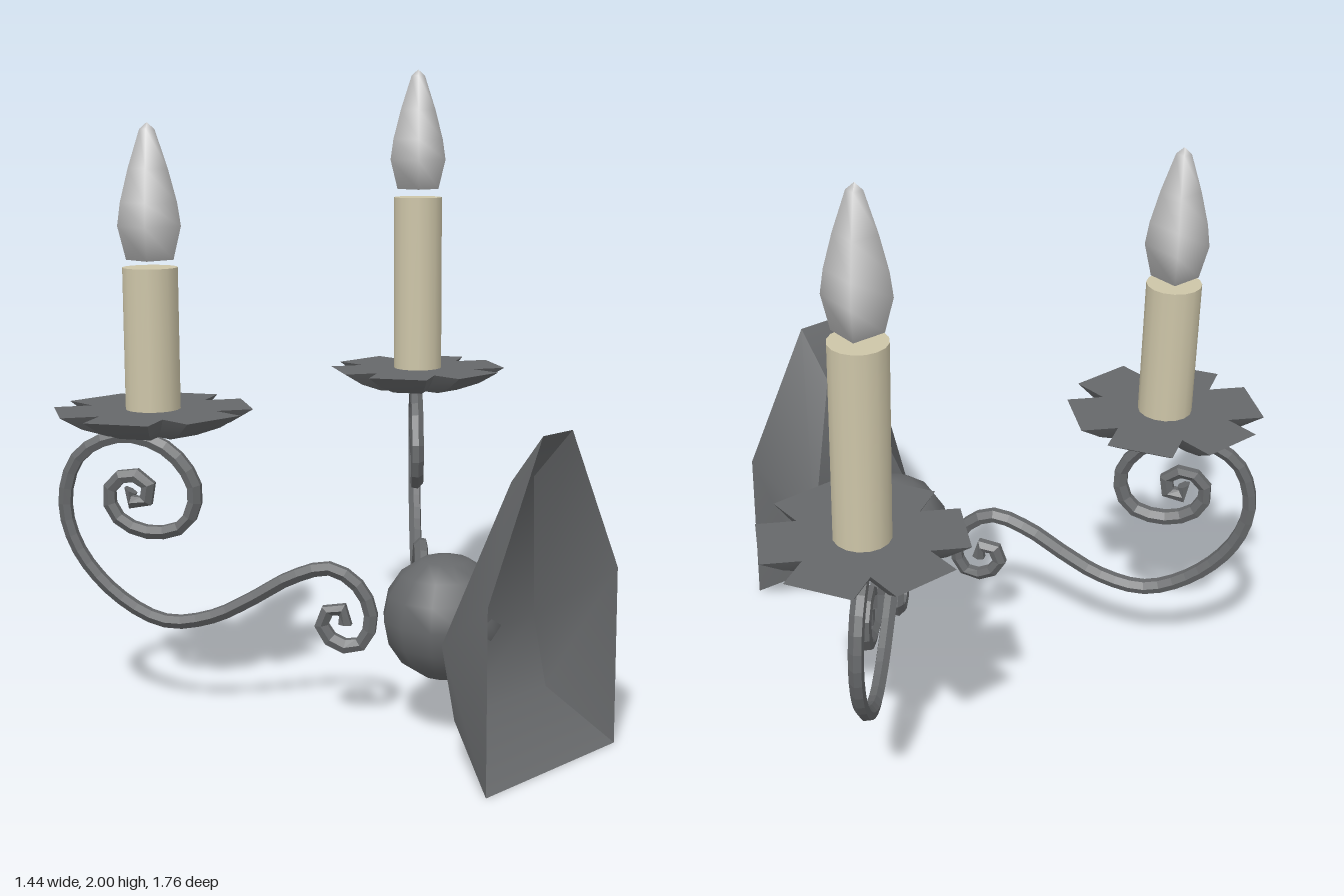
import * as THREE from 'three';
import { toCreasedNormals } from 'three/addons/utils/BufferGeometryUtils.js';

const iron = new THREE.MeshStandardMaterial({ color: 0x66686a, side: THREE.DoubleSide });
const wax = new THREE.MeshStandardMaterial({ color: 0xcdc5a8 });
const glass = new THREE.MeshStandardMaterial({ color: 0xcccccc });

function addMesh(parent, name, geometry, material, x = 0, y = 0, z = 0) {
  const mesh = new THREE.Mesh(geometry, material);
  mesh.name = name;
  mesh.position.set(x, y, z);
  parent.add(mesh);
  return mesh;
}

// Skin a stack of closed rings; extra holds additional triangles
function loft(rings, crease, extra = []) {
  const n = rings[0].length;
  const index = [...extra];
  for (let i = 0; i < rings.length - 1; i++) {
    for (let j = 0; j < n; j++) {
      const a = i * n + j, b = i * n + (j + 1) % n;
      index.push(a, b, b + n, a, b + n, a + n);
    }
  }
  const geometry = new THREE.BufferGeometry();
  geometry.setAttribute('position', new THREE.Float32BufferAttribute(rings.flat(2), 3));
  geometry.setIndex(index);
  return toCreasedNormals(geometry, crease);
}

// Hollow wall plate: wide rim against the wall, smaller folded front
function plateGeometry() {
  const cz = 0.067;
  const ring = (rows) => [
    ...rows.map(([x, y, w]) => [x, y, cz + w]),
    ...[...rows].reverse().map(([x, y, w]) => [x, y, cz - w]),
  ];
  const rim = ring([[0.715, 0, 0.29], [0.715, 0.54, 0.29], [0.715, 0.98, 0.065]]);
  const front = ring([[0.52, 0.15, 0.205], [0.47, 0.36, 0.205], [0.59, 0.83, 0.05]]);
  return loft([rim, front], 0.75, [6, 7, 10, 6, 10, 11, 7, 8, 9, 7, 9, 10]);
}

// Six-petal drip dish with a flat top and tapered underside
function dishGeometry() {
  const star = (scale, y) => {
    const ring = [];
    for (let k = 0; k < 6; k++) {
      for (const [r, da] of [[0.304, -0.335], [0.304, 0.335], [0.2, Math.PI / 6]]) {
        const a = k * Math.PI / 3 + da;
        ring.push([r * scale * Math.cos(a), y, -r * scale * Math.sin(a)]);
      }
    }
    return ring;
  };
  return loft([star(0, 0.89), star(0.5, 0.903), star(0.77, 0.932), star(1, 0.973), star(0, 0.973)], 0.6);
}

// Scroll path: [distance along the arm, height], small curl to large curl
const scroll = [
  [0.105, 0.32], [0.105, 0.36], [0.148, 0.37], [0.178, 0.315], [0.135, 0.26], [0.065, 0.255],
  [0.025, 0.33], [0.055, 0.43], [0.148, 0.492], [0.27, 0.46], [0.39, 0.39], [0.52, 0.325],
  [0.67, 0.305], [0.825, 0.385], [0.945, 0.53], [0.98, 0.68], [0.93, 0.82], [0.79, 0.885],
  [0.645, 0.84], [0.567, 0.72], [0.605, 0.61], [0.72, 0.585], [0.815, 0.63], [0.84, 0.71],
  [0.78, 0.765], [0.715, 0.735], [0.725, 0.68], [0.785, 0.685], [0.77, 0.715],
];

function armGeometry(z0, dx, dz) {
  const path = new THREE.CatmullRomCurve3(
    scroll.map(([s, y]) => new THREE.Vector3(0.12 + s * dx, y, z0 + s * dz)));
  const section = new THREE.Shape();
  for (let i = 0; i < 6; i++) {
    const a = i * Math.PI / 3;
    section[i ? 'lineTo' : 'moveTo'](0.021 * Math.sin(a), 0.025 * Math.cos(a));
  }
  section.closePath();
  return new THREE.ExtrudeGeometry(section, { steps: 60, extrudePath: path });
}

// Square flame-shaped bulb: half width and height, smooth around the sides
function bulbGeometry() {
  const profile = [[0, 0], [0.05, 0], [0.067, 0.1], [0.06, 0.17], [0.042, 0.27], [0.016, 0.385], [0, 0.405]];
  const points = profile.map(([w, y]) => new THREE.Vector2(w * Math.SQRT2, y));
  return new THREE.LatheGeometry(points, 4, Math.PI / 4);
}

export function createModel() {
  const group = new THREE.Group();
  group.name = 'wallLamp';

  addMesh(group, 'wallPlate', plateGeometry(), iron);
  addMesh(group, 'hubBall', new THREE.SphereGeometry(0.19, 12, 8), iron, 0.295, 0.365, 0.067);

  // The two candle branches; the rear candle is taller
  const branches = [
    { name: 'frontBranch', z0: 0.17, dx: -0.813, dz: 0.582, z: 0.58, top: 1.4, bulb: 1.422 },
    { name: 'rearBranch', z0: -0.02, dx: -0.707, dz: -0.707, z: -0.583, top: 1.567, bulb: 1.595 },
  ];
  for (const b of branches) {
    const branch = new THREE.Group();
    branch.name = b.name;
    group.add(branch);
    const x = -0.435, height = b.top - 0.94;
    addMesh(branch, 'scrollArm', armGeometry(b.z0, b.dx, b.dz), iron);
    addMesh(branch, 'petalDish', dishGeometry(), iron, x, 0, b.z);
    addMesh(branch, 'candle', new THREE.CylinderGeometry(0.083, 0.083, height, 16), wax, x, 0.94 + height / 2, b.z);
    addMesh(branch, 'bulb', bulbGeometry(), glass, x, b.bulb, b.z);
  }
  return group;
}
